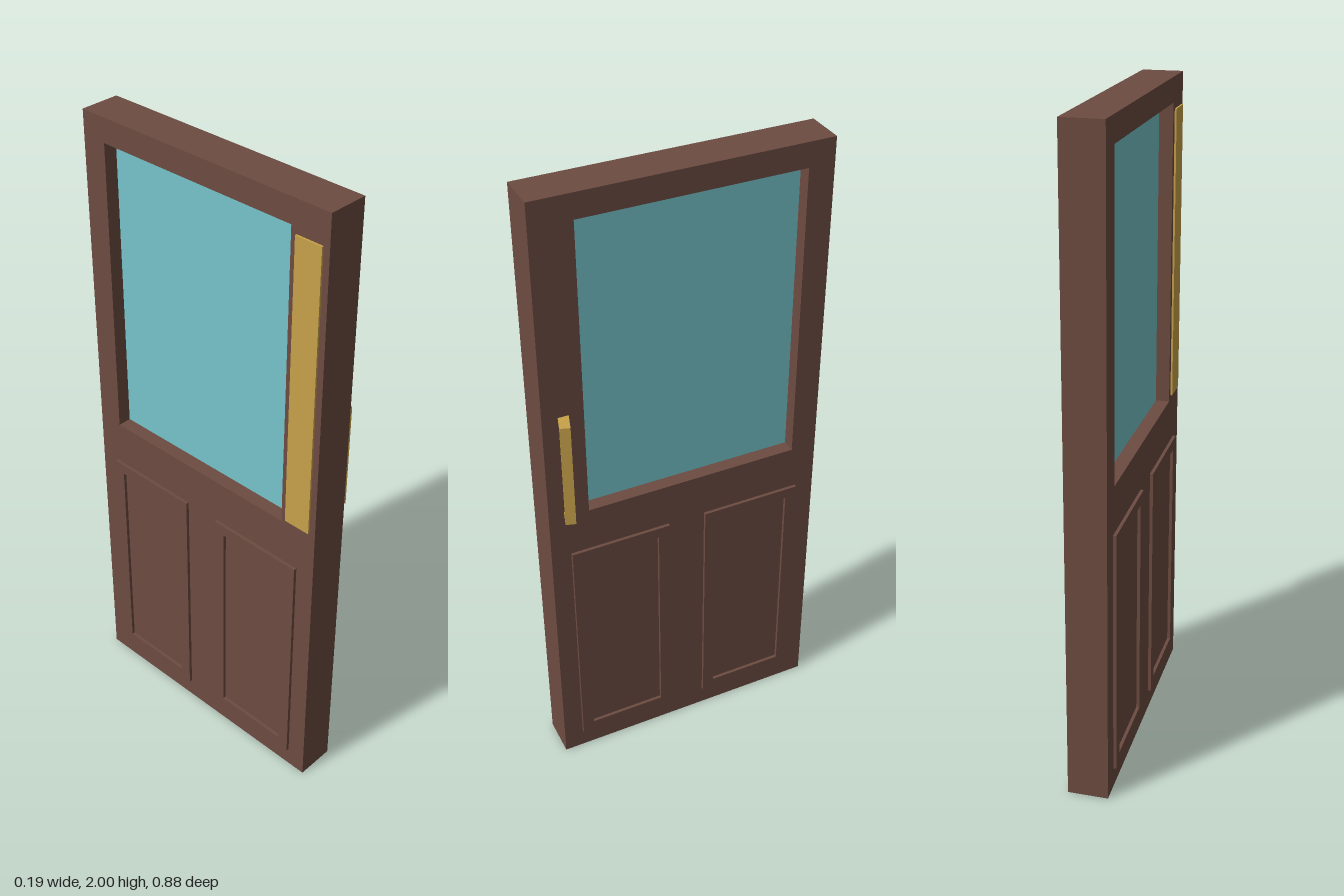
import * as THREE from 'three';

const wood = new THREE.MeshStandardMaterial({ color: 0x6d4c41 });
const glass = new THREE.MeshStandardMaterial({ color: 0x77c4cb });
const brass = new THREE.MeshStandardMaterial({ color: 0xc8a24a });

// Door faces along x
const BACK = -0.087, FRONT = 0.037;

function rect(target, u0, u1, v0, v1) {
  target.moveTo(u0, v0);
  target.lineTo(u1, v0);
  target.lineTo(u1, v1);
  target.lineTo(u0, v1);
  target.closePath();
  return target;
}

// Rectangular frame in the z-y plane, extruded from x0 to x1
function frame(name, outer, inner, x0, x1) {
  // shape u runs along -z once turned to face +x
  const shape = rect(new THREE.Shape(), -outer[1], -outer[0], outer[2], outer[3]);
  shape.holes.push(rect(new THREE.Path(), -inner[1], -inner[0], inner[2], inner[3]));
  const geo = new THREE.ExtrudeGeometry(shape, { depth: x1 - x0, bevelEnabled: false });
  geo.rotateY(Math.PI / 2).translate(x0, 0, 0);
  const mesh = new THREE.Mesh(geo, wood);
  mesh.name = name;
  return mesh;
}

function box(name, material, x0, x1, y0, y1, z0, z1) {
  const mesh = new THREE.Mesh(new THREE.BoxGeometry(x1 - x0, y1 - y0, z1 - z0), material);
  mesh.position.set((x0 + x1) / 2, (y0 + y1) / 2, (z0 + z1) / 2);
  mesh.name = name;
  return mesh;
}

// Bent flat-bar pull: feet, arms and grip in one profile, turned outward
function pullHandle() {
  const y0 = 1.0, y1 = 1.34, foot = 0.055, t = 0.006, reach = 0.056, width = 0.031;
  const points = [
    [-0.003, y0], [reach, y0], [reach, y1], [-0.003, y1],
    [-0.003, y1 - foot], [0.004, y1 - foot], [0.004, y1 - t],
    [reach - 0.008, y1 - t], [reach - 0.008, y0 + t],
    [0.004, y0 + t], [0.004, y0 + foot], [-0.003, y0 + foot],
  ].map(([x, y]) => new THREE.Vector2(x, y));
  const geo = new THREE.ExtrudeGeometry(new THREE.Shape(points), { depth: width, bevelEnabled: false });
  geo.translate(0, 0, -width / 2);
  const mesh = new THREE.Mesh(geo, brass);
  mesh.position.set(FRONT, 0, 0.376);
  mesh.rotation.y = -0.3;
  mesh.name = 'pullHandle';
  return mesh;
}

export function createModel() {
  const door = new THREE.Group();
  door.name = 'door';

  // Slab with window opening, and the pane set into it
  door.add(frame('doorSlab', [-0.44, 0.44, 0, 2], [-0.36, 0.315, 0.985, 1.925], BACK, FRONT));
  door.add(box('windowPane', glass, -0.044, -0.006, 0.985, 1.925, -0.36, 0.315));

  // Raised panel mouldings, two on each face
  for (const [x0, x1] of [[FRONT, 0.047], [-0.097, BACK]]) {
    for (const z of [-0.219, 0.219]) {
      door.add(frame('panelMoulding',
        [z - 0.159, z + 0.159, 0.065, 0.842],
        [z - 0.122, z + 0.122, 0.101, 0.808], x0, x1));
    }
  }

  // Hardware
  door.add(pullHandle());
  door.add(box('pushPlate', brass, -0.093, BACK, 1.0, 1.905, 0.333, 0.42));
  return door;
}
